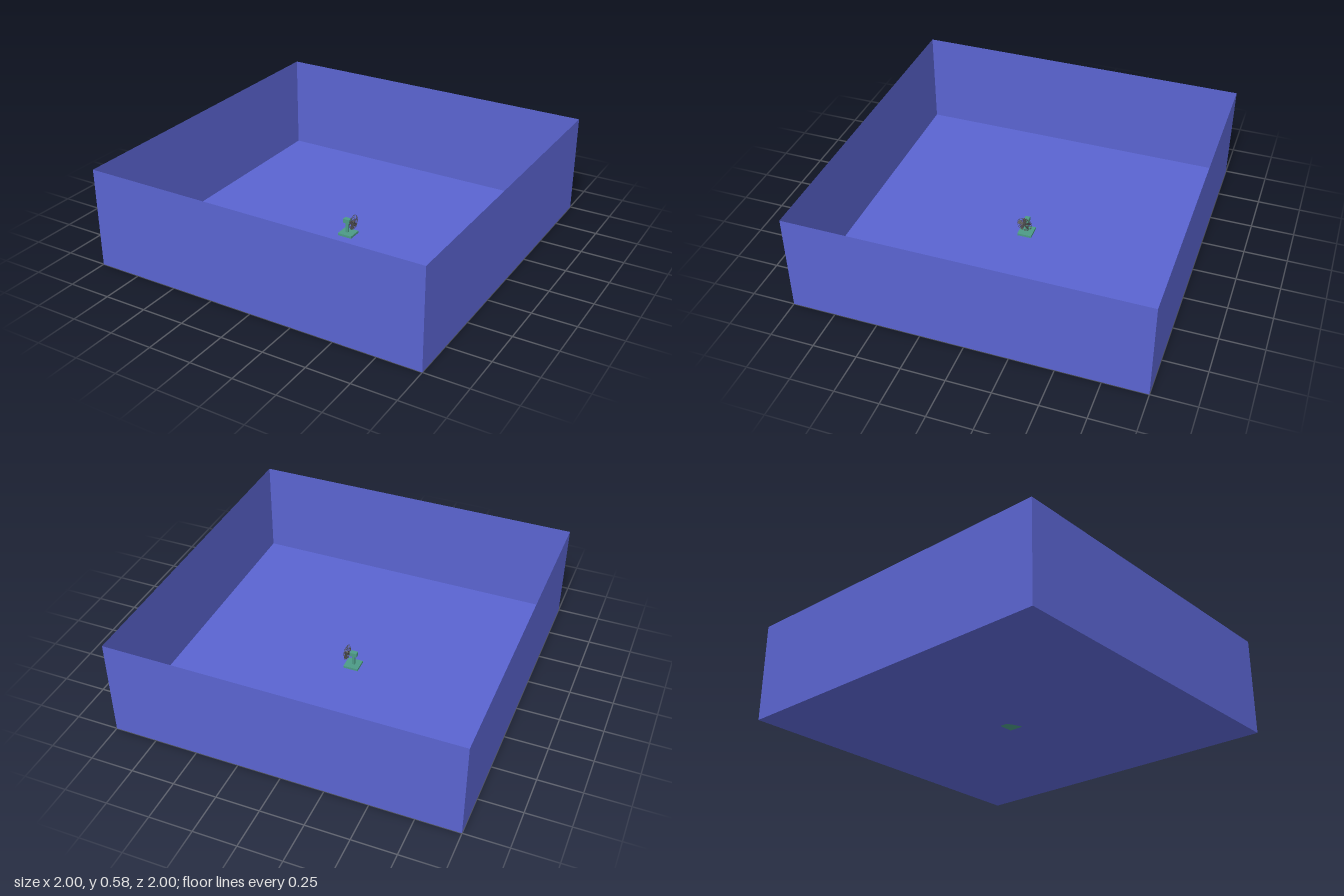
import * as THREE from 'three';

export function createModel() {
  const model = new THREE.Group();
  const blue = new THREE.MeshStandardMaterial({ color: 0x5a64d0, side: THREE.DoubleSide });
  const green = new THREE.MeshStandardMaterial({ color: 0x4c9a86 });
  const dark = new THREE.MeshStandardMaterial({ color: 0x4a4a4c, side: THREE.DoubleSide });

  const add = (parent, name, geometry, material, x = 0, y = 0, z = 0) => {
    const mesh = new THREE.Mesh(geometry, material);
    mesh.name = name;
    mesh.position.set(x, y, z);
    parent.add(mesh);
    return mesh;
  };

  // Open room: a floor and four paper-thin walls
  const height = 0.585;
  const room = new THREE.Group();
  room.name = 'room';
  model.add(room);
  add(room, 'floor', new THREE.PlaneGeometry(2, 2).rotateX(-Math.PI / 2), blue);
  ['frontWall', 'leftWall', 'backWall', 'rightWall'].forEach((name, i) => {
    const wall = new THREE.PlaneGeometry(2, height).translate(0, height / 2, 1);
    add(room, name, wall.rotateY(i * Math.PI / 2), blue);
  });

  // Small desk fan at the centre, blowing towards +x
  const fan = new THREE.Group();
  fan.name = 'fan';
  model.add(fan);
  const axisY = 0.088;
  add(fan, 'fanBase', new THREE.BoxGeometry(0.09, 0.014, 0.085), green, -0.003, 0.007);
  add(fan, 'fanPost', new THREE.BoxGeometry(0.016, 0.07, 0.016), green, -0.008, 0.049);
  add(fan, 'motor', new THREE.BoxGeometry(0.042, 0.026, 0.028), green, -0.008, axisY);

  // Rotor: shaft, hub and pitched blades
  const rotor = new THREE.Group();
  rotor.name = 'rotor';
  rotor.position.set(0.034, axisY, 0);
  fan.add(rotor);
  add(rotor, 'shaft', new THREE.CylinderGeometry(0.003, 0.003, 0.026, 8).rotateZ(Math.PI / 2), dark, -0.011);
  add(rotor, 'hub', new THREE.CylinderGeometry(0.008, 0.008, 0.014, 12).rotateZ(-Math.PI / 2), dark);
  const outline = new THREE.Shape();
  outline.moveTo(-0.003, 0.005);
  outline.quadraticCurveTo(-0.018, 0.03, -0.009, 0.04);
  outline.quadraticCurveTo(0.003, 0.045, 0.011, 0.037);
  outline.quadraticCurveTo(0.012, 0.02, 0.003, 0.005);
  const bladeGeometry = new THREE.ShapeGeometry(outline, 6).rotateY(Math.PI / 2 + 0.45);
  for (let i = 0; i < 5; i++) {
    add(rotor, 'blade', bladeGeometry, dark).rotation.x = (i * Math.PI * 2) / 5;
  }

  // Wire guard around the rotor
  const guard = new THREE.Group();
  guard.name = 'guard';
  guard.position.copy(rotor.position);
  fan.add(guard);
  const ring = (radius, x) =>
    add(guard, 'guardRing', new THREE.TorusGeometry(radius, 0.001, 6, 32).rotateY(Math.PI / 2), dark, x);
  ring(0.045, 0);
  for (const side of [-1, 1]) {
    ring(0.028, side * 0.011);
    for (let i = 0; i < 12; i++) {
      const wire = new THREE.QuadraticBezierCurve3(
        new THREE.Vector3(side * 0.012, 0.008, 0),
        new THREE.Vector3(side * 0.012, 0.04, 0),
        new THREE.Vector3(0, 0.045, 0));
      add(guard, 'guardWire', new THREE.TubeGeometry(wire, 6, 0.0007, 4), dark).rotation.x = (i * Math.PI) / 6;
    }
  }
  return model;
}
